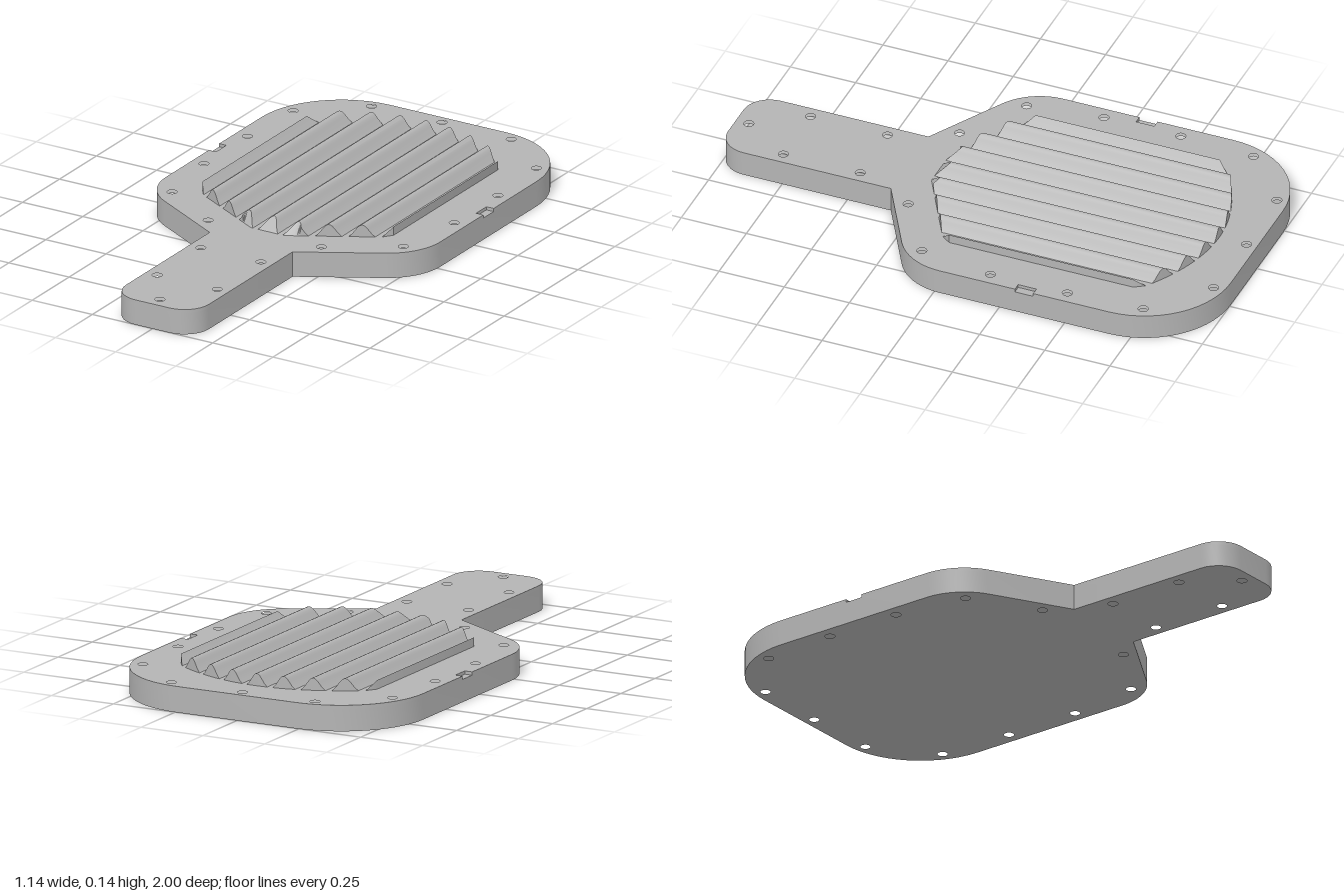
import * as THREE from 'three';
import { toCreasedNormals } from 'three/addons/utils/BufferGeometryUtils.js';

const TOP = 0.095, STEP = 0.083, PITCH = 0.103;

// points of an arc in plan (x, z), angles in degrees from +x towards +z
function arc(cx, cz, r, from, to, n = 14) {
  return Array.from({ length: n + 1 }, (_, i) => {
    const a = THREE.MathUtils.degToRad(from + (to - from) * i / n);
    return [cx + r * Math.cos(a), cz + r * Math.sin(a)];
  });
}

// paddle outline, optionally notched at the sides
function outline(notched) {
  const notch = [[0.57, -0.38], [0.54, -0.38], [0.54, -0.31], [0.57, -0.31]];
  const right = [
    ...arc(0.24, -0.67, 0.33, -90, 0),
    ...(notched ? notch : []),
    ...arc(0.35, -0.02, 0.22, 0, 60),
    [0.172, 0.333],
    ...arc(0.072, 0.9, 0.1, 0, 90, 8),
  ];
  const left = right.map(([x, z]) => [-x, z]).reverse();
  const shape = new THREE.Shape([...right, ...left].map(([x, z]) => new THREE.Vector2(x, -z)));

  // screw holes round the rim and along the handle
  const pairs = [[0.29, -0.955], [0.505, -0.775], [0.52, -0.49], [0.52, -0.195],
    [0.48, 0.085], [0.235, 0.24], [0.125, 0.47], [0.125, 0.765]];
  const holes = [[0, -0.96], [0, 0.95], ...pairs, ...pairs.map(([x, z]) => [-x, z])];
  for (const [x, z] of holes) {
    shape.holes.push(new THREE.Path().absarc(x, -z, 0.018, 0, Math.PI * 2, true));
  }
  return shape;
}

function plate(y0, y1, notched) {
  const g = new THREE.ExtrudeGeometry(outline(notched), { depth: y1 - y0, bevelEnabled: false, curveSegments: 10 });
  g.rotateX(-Math.PI / 2).translate(0, y0, 0);
  return toCreasedNormals(g, 0.5);
}

// where the ridged field begins and ends at a given x
const corner = (x) => Math.max(0, Math.abs(x) - 0.37) * 0.8;
const backZ = (x) => -0.855 + 0.9 * x * x + corner(x);
const frontZ = (x) => 0.22 - 0.56 * Math.max(0, Math.abs(x) - 0.07) - corner(x);

// ridge skin lofted from a cross-section of [x, y] points, ends included
function ridge(section) {
  const rows = section.map(([x, y]) => {
    const f = frontZ(x), b = backZ(x);
    const slopedFront = Math.min(f, 0.22 - (y - TOP));
    return [[x, TOP, f], [x, y, slopedFront], [x, y, b], [x, TOP, b]];
  });
  const pos = [];
  for (let i = 0; i < rows.length - 1; i++) {
    for (let j = 0; j < 3; j++) {
      const a = rows[i][j], b = rows[i + 1][j], c = rows[i + 1][j + 1], d = rows[i][j + 1];
      pos.push(...a, ...b, ...c, ...a, ...c, ...d);
    }
  }
  const g = new THREE.BufferGeometry();
  g.setAttribute('position', new THREE.Float32BufferAttribute(pos, 3));
  return toCreasedNormals(g, 0.6);
}

export function createModel() {
  const group = new THREE.Group();
  const grey = new THREE.MeshStandardMaterial({ color: 0xb4b4b4 });
  grey.name = 'grey';
  const add = (name, geometry) => {
    const mesh = new THREE.Mesh(geometry, grey);
    mesh.name = name;
    group.add(mesh);
  };

  // paddle body with shallow side notches in its top layer
  add('basePlate', plate(0, STEP, false));
  add('notchedTopPlate', plate(STEP, TOP, true));

  // seven full ridges
  const half = [[0.006, 0.1385], [0.012, 0.133], [0.018, 0.125], [0.03, 0.107], [0.041, TOP]];
  const profile = [...half.map(([x, y]) => [-x, y]).reverse(), [0, 0.14], ...half];
  for (let i = -3; i <= 3; i++) {
    add('ridge', ridge(profile.map(([x, y]) => [x + i * PITCH, y])));
  }

  // cut-off ridges along both sides
  const edge = [[0.371, TOP], [0.382, 0.108], [0.397, 0.128], [0.397, TOP]];
  add('leftEdgeRidge', ridge(edge));
  add('rightEdgeRidge', ridge(edge.map(([x, y]) => [-x, y]).reverse()));

  return group;
}
